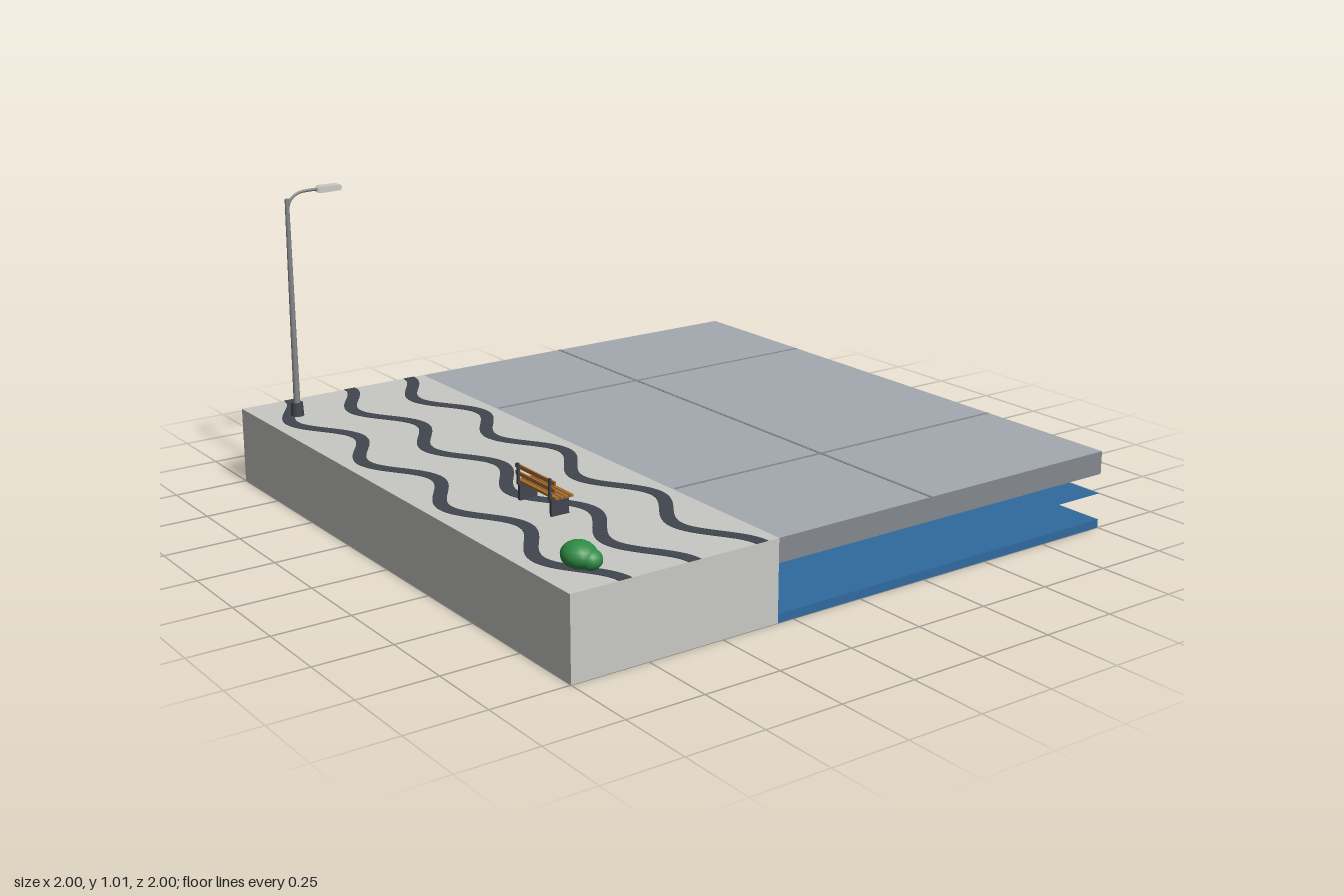
import * as THREE from 'three';

const mat = (name, color, extra = {}) => {
  const m = new THREE.MeshStandardMaterial({ color, ...extra });
  m.name = name;
  return m;
};

export function createModel() {
  const model = new THREE.Group();
  model.name = 'seasidePromenade';

  const paving = mat('pale paving', 0xc8c8c5);
  const deckTop = mat('deck surface', 0xa4a9b1);
  const concrete = mat('grey concrete', 0x83878d, { flatShading: true });
  const water = mat('blue water', 0x306a9f, { side: THREE.DoubleSide });
  const stone = mat('dark stone', 0x41454e);
  const metal = mat('pole metal', 0x85888a);
  const lampWhite = mat('lamp housing', 0xcbcbc6);
  const wood = mat('bench wood', 0xa86c30);
  const leaf = mat('bush green', 0x2f8c46);

  const add = (parent, name, geo, material, x = 0, y = 0, z = 0) => {
    const mesh = new THREE.Mesh(geo, material);
    mesh.name = name;
    mesh.position.set(x, y, z);
    parent.add(mesh);
    return mesh;
  };
  // Box given by its low and high corners
  const box = (parent, name, material, [x0, y0, z0], [x1, y1, z1]) =>
    add(parent, name, new THREE.BoxGeometry(x1 - x0, y1 - y0, z1 - z0), material,
      (x0 + x1) / 2, (y0 + y1) / 2, (z0 + z1) / 2);
  const group = (name, x = 0, y = 0, z = 0) => {
    const g = new THREE.Group();
    g.name = name;
    g.position.set(x, y, z);
    model.add(g);
    return g;
  };

  const TOP = 0.255, EDGE = 0.305;

  // Solid promenade and the raised deck
  box(model, 'promenade', paving, [-1, 0, EDGE], [1, TOP, 1]);
  const deckSkin = [concrete, concrete, deckTop, concrete, concrete, concrete];
  box(model, 'deck', deckSkin, [-1, 0.18, -1], [1, TOP, EDGE]);
  for (const x of [-0.5, 0.5])
    box(model, 'deckSeam', concrete, [x - 0.005, TOP - 0.002, -1], [x + 0.005, TOP + 0.001, 0.295]);
  box(model, 'deckCrossSeam', concrete, [-1, TOP - 0.002, -0.275], [1, TOP + 0.0012, -0.265]);

  // Water bed, water surface and deck pillars
  box(model, 'waterBed', water, [-1, 0, -1], [1, 0.028, EDGE]);
  const surface = add(model, 'waterSurface', new THREE.PlaneGeometry(2, 1 + EDGE), water,
    0, 0.115, (EDGE - 1) / 2);
  surface.rotation.x = -Math.PI / 2;
  for (const z of [-0.88, -0.4])
    for (const x of [-0.75, 0, 0.75])
      add(model, 'pillar', new THREE.CylinderGeometry(0.06, 0.06, 0.154, 14), concrete, x, 0.104, z);

  // Wavy stone bands: ribbons of constant width along a cosine
  const waveBand = (centre) => {
    const upper = [], lower = [], half = 0.021, A = 0.055, k = 4 * Math.PI;
    for (let i = 0; i <= 128; i++) {
      const x = -1 + i / 64;
      const z = centre - A * Math.cos(k * x);
      const slope = A * k * Math.sin(k * x);
      const len = Math.hypot(1, slope);
      const nx = (-slope / len) * half, nz = half / len;
      upper.push(new THREE.Vector2(x + nx, -(z + nz)));
      lower.push(new THREE.Vector2(x - nx, -(z - nz)));
    }
    const shape = new THREE.Shape([...upper, ...lower.reverse()]);
    const geo = new THREE.ExtrudeGeometry(shape, { depth: 0.0015, bevelEnabled: false });
    geo.rotateX(-Math.PI / 2);
    add(model, 'waveBand', geo, stone, 0, TOP, 0);
  };
  [0.42, 0.652, 0.88].forEach(waveBand);

  // Street lamp with a curved arm reaching over the promenade
  const lamp = group('streetLamp', -0.825, TOP, 0.88);
  add(lamp, 'lampBase', new THREE.CylinderGeometry(0.019, 0.022, 0.045, 12), stone, 0, 0.0225, 0);
  add(lamp, 'lampPole', new THREE.CylinderGeometry(0.007, 0.011, 0.69, 12), metal, 0, 0.385, 0);
  const arm = new THREE.CatmullRomCurve3([
    [0, 0.69, 0], [0, 0.725, -0.012], [0, 0.745, -0.04], [0, 0.75, -0.075], [0, 0.75, -0.13],
  ].map((p) => new THREE.Vector3(...p)));
  add(lamp, 'lampArm', new THREE.TubeGeometry(arm, 20, 0.005, 8), metal);
  const headShape = new THREE.Shape();
  headShape.moveTo(-0.104, -0.007);
  headShape.lineTo(-0.11, 0.003);
  headShape.lineTo(-0.12, 0.01);
  headShape.lineTo(-0.184, 0.01);
  headShape.lineTo(-0.19, 0.004);
  headShape.lineTo(-0.187, -0.009);
  headShape.lineTo(-0.112, -0.011);
  const head = new THREE.ExtrudeGeometry(headShape, { depth: 0.036, bevelEnabled: false });
  head.translate(0, 0, -0.018);
  head.rotateY(-Math.PI / 2);
  add(lamp, 'lampHead', head, lampWhite, 0, 0.75, 0);

  // Bench looking out over the water
  const bench = group('bench', 0.4, TOP, 0);
  for (const x of [-0.085, 0.085]) {
    box(bench, 'benchLeg', stone, [x - 0.005, 0, 0.666], [x + 0.005, 0.053, 0.726]);
    box(bench, 'benchBackPost', stone, [x - 0.004, 0.05, 0.724], [x + 0.004, 0.115, 0.731]);
  }
  for (let i = 0; i < 4; i++)
    box(bench, 'seatSlat', wood, [-0.105, 0.053, 0.66 + i * 0.016], [0.105, 0.06, 0.673 + i * 0.016]);
  for (const y of [0.075, 0.097])
    box(bench, 'backSlat', wood, [-0.105, y, 0.719], [0.105, y + 0.012, 0.725]);

  // Rounded bush of overlapping clumps
  const bush = group('bush', 0.85, TOP, 0.872);
  for (const [x, y, z, rx, ry, rz] of [
    [0.003, 0.035, 0.002, 0.055, 0.039, 0.05],
    [-0.037, 0.028, -0.014, 0.034, 0.03, 0.034],
    [0.038, 0.028, -0.012, 0.034, 0.03, 0.034],
    [0.008, 0.026, -0.025, 0.032, 0.027, 0.028],
  ]) {
    add(bush, 'bushClump', new THREE.SphereGeometry(1, 16, 12), leaf, x, y, z).scale.set(rx, ry, rz);
  }

  return model;
}
